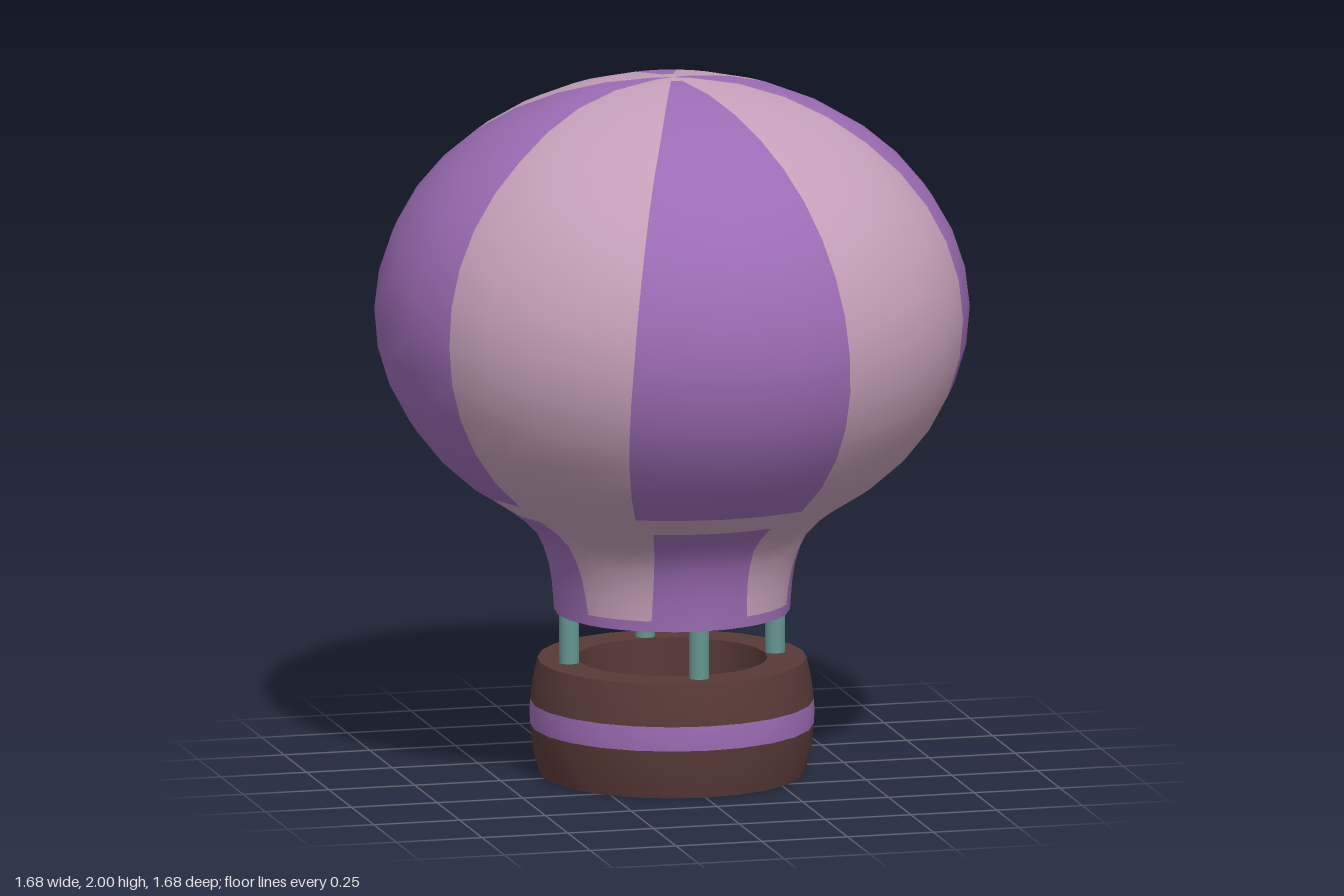
import * as THREE from 'three';

const mat = (name, color, side = THREE.FrontSide) => {
  const m = new THREE.MeshStandardMaterial({ color, side });
  m.name = name;
  return m;
};

// Linear interpolation through [y, degrees] keys
function keyed(keys, y) {
  for (let i = 1; i < keys.length; i++) {
    const [y0, v0] = keys[i - 1], [y1, v1] = keys[i];
    if (y <= y1) return v0 + (v1 - v0) * (y - y0) / (y1 - y0);
  }
  return keys[keys.length - 1][1];
}

// Half widths, in degrees, of the purple gores facing z and facing x
const halfZ = [[0.47, 25], [0.78, 21], [0.84, 25], [1.33, 22], [1.8, 20], [2, 18]];
const halfX = [[0.47, 31], [0.78, 25], [0.84, 27], [1.33, 27], [1.87, 25], [1.96, 20], [2, 16]];

// Envelope skin: a lathe-like grid whose columns follow the gore seams
function envelopeGeometry() {
  const profile = [[0.333, 0.47], [0.335, 0.5], [0.339, 0.55], [0.347, 0.6], [0.362, 0.65],
    [0.386, 0.7], [0.425, 0.74], [0.478, 0.78], [0.525, 0.81], [0.573, 0.84]];
  for (let i = 1; i <= 14; i++) {
    const t = THREE.MathUtils.degToRad(43 + i * 133.5 / 14);
    profile.push([0.84 * Math.sin(t), 1.33 - 0.67 * Math.cos(t)]);
  }
  profile.push([0, 2]);

  const sub = 4, cols = 8 * sub, pos = [], purple = [], pink = [];
  for (const [r, y] of profile) {
    const a = keyed(halfZ, y), c = keyed(halfX, y);
    const seams = [-a, a, 90 - c, 90 + c, 180 - a, 180 + a, 270 - c, 270 + c, 360 - a];
    for (let k = 0; k < cols; k++) {
      const s = Math.floor(k / sub), f = (k % sub) / sub;
      const th = THREE.MathUtils.degToRad(seams[s] + (seams[s + 1] - seams[s]) * f);
      pos.push(r * Math.sin(th), y, r * Math.cos(th));
    }
  }
  for (let j = 0; j < profile.length - 1; j++) {
    const y = (profile[j][1] + profile[j + 1][1]) / 2;
    for (let k = 0; k < cols; k++) {
      const s = Math.floor(k / sub), facesX = s % 4 === 2, middle = k % sub === 1 || k % sub === 2;
      let isPurple = s % 2 === 0;
      if (y < 0.5) isPurple = true;                                   // hem
      else if (y > 0.78 && y < 0.84) isPurple = facesX && middle && y > 0.81; // pale waist
      else if (j === profile.length - 2) isPurple = facesX;           // crown
      const n = (k + 1) % cols;
      const p = j * cols + k, q = j * cols + n, u = p + cols, v = q + cols;
      (isPurple ? purple : pink).push(p, q, v, p, v, u);
    }
  }
  const g = new THREE.BufferGeometry();
  g.setAttribute('position', new THREE.Float32BufferAttribute(pos, 3));
  g.setIndex([...purple, ...pink]);
  g.addGroup(0, purple.length, 0);
  g.addGroup(purple.length, pink.length, 1);
  g.computeVertexNormals();
  return g;
}

export function createModel() {
  const model = new THREE.Group();
  model.name = 'hotAirBalloon';
  const purple = mat('purple', 0x9c6cb4);
  const pink = mat('dusty pink', 0xc4a0b8);
  const brown = mat('dark brown', 0x583a37);
  const teal = mat('teal', 0x659690);

  const add = (parent, name, geometry, material) => {
    const mesh = new THREE.Mesh(geometry, material);
    mesh.name = name;
    parent.add(mesh);
    return mesh;
  };
  const lathe = pts => new THREE.LatheGeometry(pts.map(p => new THREE.Vector2(...p)), 24);

  // Striped envelope with its closed mouth
  add(model, 'envelope', envelopeGeometry(), [purple, pink]);
  const mouth = add(model, 'envelopeMouth', new THREE.CircleGeometry(0.333, 32), purple);
  mouth.rotation.x = Math.PI / 2;
  mouth.position.y = 0.472;

  // Barrel-shaped basket, hollow inside
  const basket = new THREE.Group();
  basket.name = 'basket';
  model.add(basket);
  add(basket, 'basketBottom', lathe([[0, 0], [0.375, 0]]), brown);
  add(basket, 'basketLowerWall', lathe([[0.375, 0], [0.393, 0.07], [0.4, 0.14]]), brown);
  add(basket, 'basketBand', lathe([[0.4, 0.14], [0.402, 0.175], [0.4, 0.21]]), purple);
  add(basket, 'basketUpperWall', lathe([[0.4, 0.21], [0.393, 0.27], [0.38, 0.33]]), brown);
  add(basket, 'basketRim', lathe([[0.38, 0.33], [0.27, 0.33]]), brown);
  add(basket, 'basketInnerWall', lathe([[0.27, 0.33], [0.27, 0.06]]), brown);
  add(basket, 'basketFloor', lathe([[0.27, 0.06], [0, 0.06]]), brown);

  // Four posts joining basket and envelope
  for (let i = 0; i < 4; i++) {
    const a = i * Math.PI / 2;
    const post = add(model, 'post', new THREE.CylinderGeometry(0.029, 0.029, 0.16, 12), teal);
    post.position.set(0.3 * Math.sin(a), 0.4, 0.3 * Math.cos(a));
  }
  return model;
}
